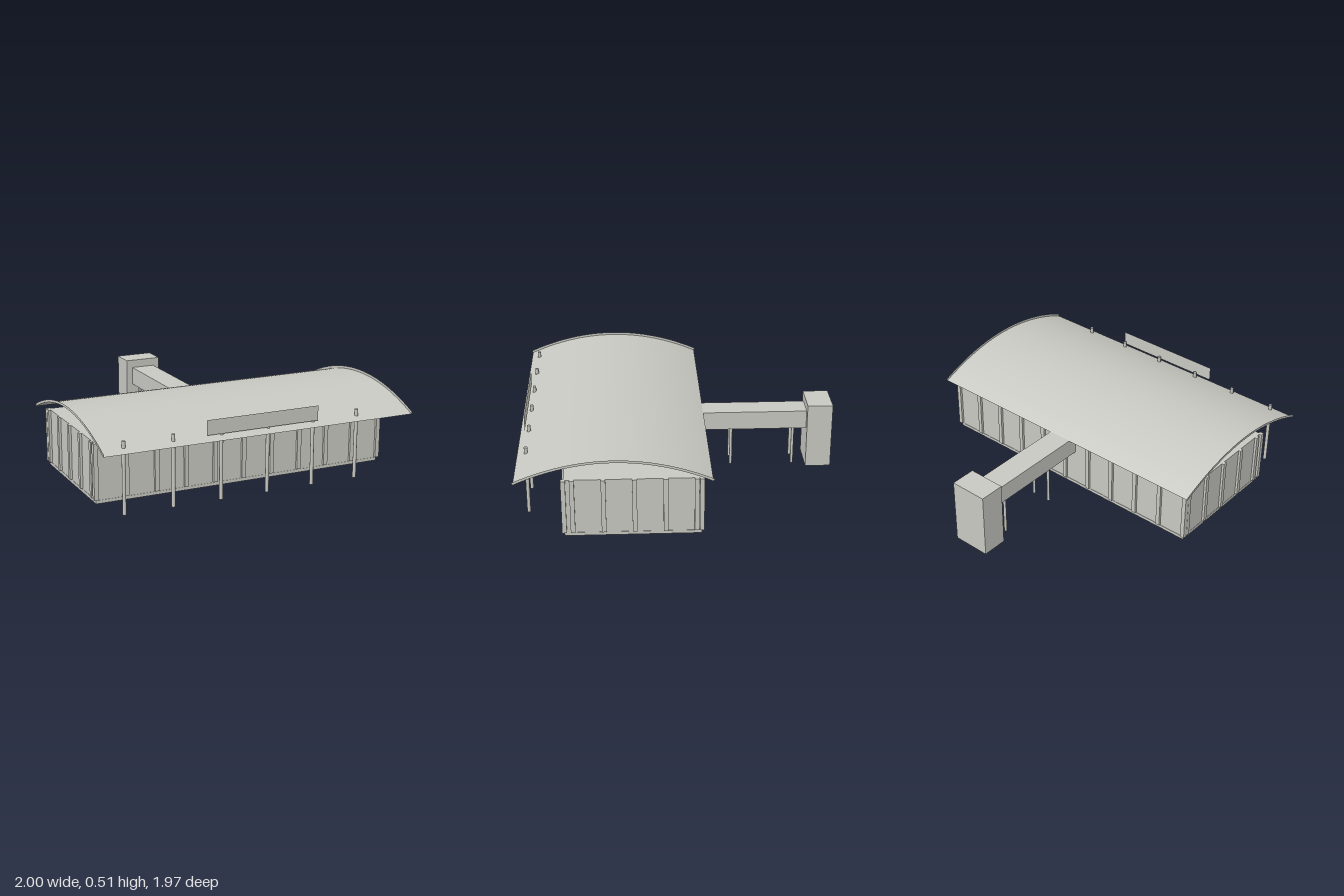
import * as THREE from 'three';

const concrete = new THREE.MeshStandardMaterial({ color: 0xc8c8c2, side: THREE.DoubleSide });

export function createModel() {
  const group = new THREE.Group();

  const add = (name, geometry, x = 0, y = 0, z = 0) => {
    const mesh = new THREE.Mesh(geometry, concrete);
    mesh.name = name;
    mesh.position.set(x, y, z);
    group.add(mesh);
    return mesh;
  };
  // Box given by its extents
  const box = (name, x0, x1, y0, y1, z0, z1) =>
    add(name, new THREE.BoxGeometry(x1 - x0, y1 - y0, z1 - z0),
      (x0 + x1) / 2, (y0 + y1) / 2, (z0 + z1) / 2);
  const post = (name, x, z, height, radius) =>
    add(name, new THREE.CylinderGeometry(radius, radius, height, 12), x, height / 2, z);

  // Hall: floor slab and walls
  box('floorSlab', -0.942, 0.942, 0, 0.02, -0.1, 0.7);
  box('hallWalls', -0.94, 0.94, 0.02, 0.362, -0.098, 0.698);

  // Wall columns along the long and short sides
  const half = 0.0135;
  const column = (x, z) => box('wallColumn', x - half, x + half, 0.025, 0.362, z - half, z + half);
  for (let i = 0; i <= 10; i++) {
    const x = -0.943 + i * 0.1886;
    column(x, 0.7);
    column(x, -0.1);
  }
  for (let i = 0; i < 5; i++) {
    column(-0.942, 0.65 - i * 0.18);
    column(0.942, 0.65 - i * 0.18);
  }

  // Curved roof: a single arched skin
  const centreZ = 0.41, reach = 0.57, edgeY = 0.369, rise = 0.128;
  const arch = (d) => edgeY + rise * (1 - (d / reach) ** 2);
  const skin = new THREE.PlaneGeometry(2, reach * 2, 1, 32).rotateX(-Math.PI / 2);
  const p = skin.attributes.position;
  for (let i = 0; i < p.count; i++) p.setY(i, arch(p.getZ(i)));
  skin.computeVertexNormals();
  add('roofSkin', skin, 0, 0, centreZ);

  // Raised rims at both gable ends of the roof
  const lower = [], upper = [];
  for (let i = 0; i <= 32; i++) {
    const d = -reach + (2 * reach * i) / 32;
    const slope = (-2 * rise * d) / reach ** 2;
    const n = new THREE.Vector2(-slope, 1).normalize().multiplyScalar(0.016);
    const point = new THREE.Vector2(d, arch(d));
    lower.push(point);
    upper.push(point.clone().add(n));
  }
  const rim = new THREE.ShapeGeometry(new THREE.Shape([...lower, ...upper.reverse()]));
  rim.rotateY(-Math.PI / 2);
  add('roofRim', rim, -1, 0, centreZ);
  add('roofRim', rim.clone().rotateY(Math.PI).scale(1, 1, -1).scale(1, 1, -1), 1, 0, centreZ);

  // Row of posts carrying the front eave
  for (let i = 0; i < 6; i++) post('eavePost', -0.86 + i * 0.3, 0.925, 0.43, 0.011);

  // Blank sign panel above the eave
  add('signPanel', new THREE.PlaneGeometry(0.725, 0.09), -0.002, 0.446, 0.95);

  // Raised walkway to the rear tower
  box('walkway', -0.08, 0.077, 0.252, 0.37, -0.825, -0.1);
  for (const z of [-0.34, -0.737])
    for (const x of [-0.06, 0.06]) post('walkwayLeg', x, z, 0.253, 0.009);
  box('rearTower', -0.122, 0.118, 0, 0.422, -0.98, -0.82);

  return group;
}
